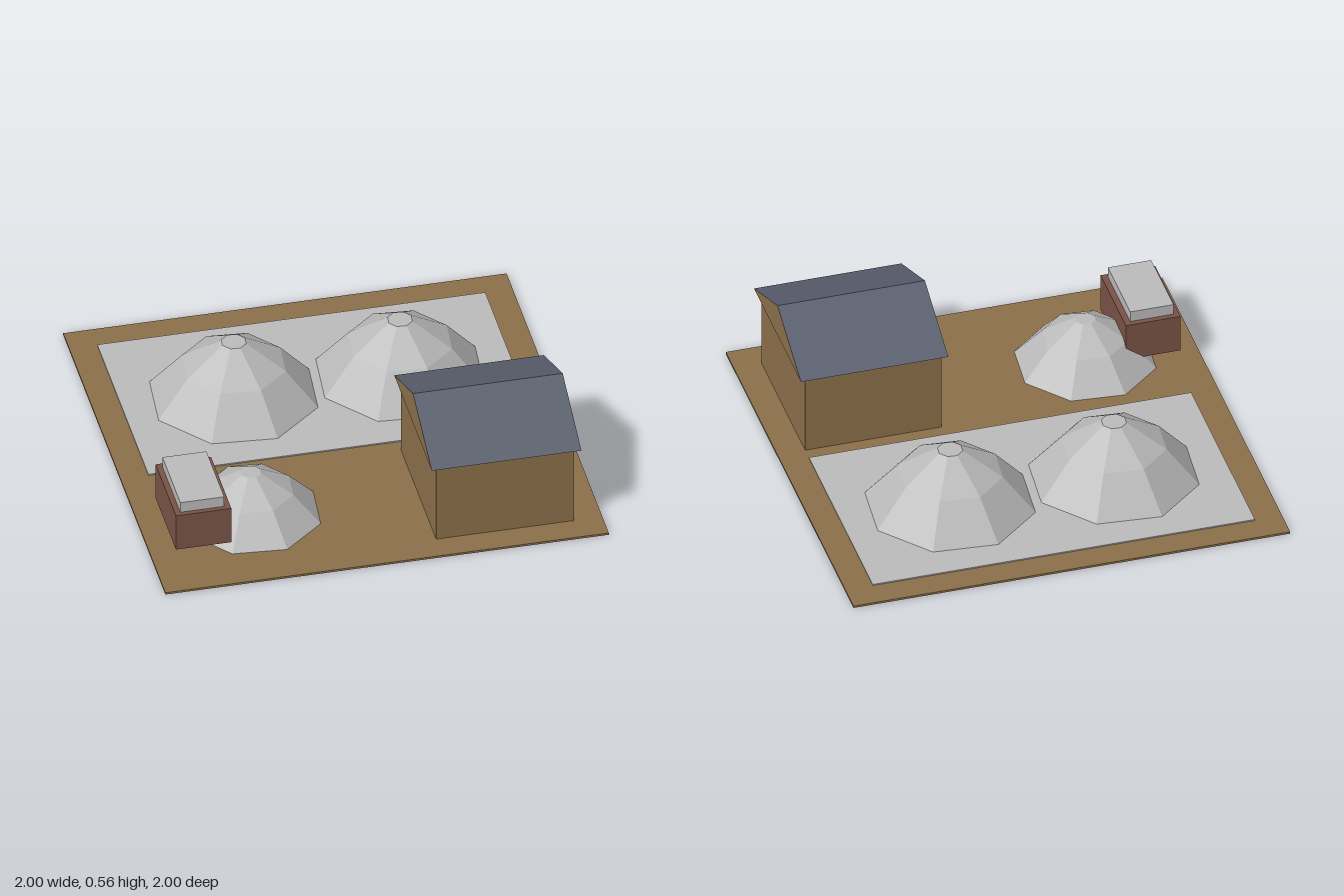
import * as THREE from 'three';

const material = (name, color, flatShading = false) => {
  const m = new THREE.MeshStandardMaterial({ color });
  m.name = name;
  m.flatShading = flatShading;
  return m;
};

export function createModel() {
  const brown = material('earthBrown', 0x8b6f4a);
  const grey = material('stoneGrey', 0xbababa, true);
  const slate = material('slateBlue', 0x5a5f6e);
  const rust = material('rustBrown', 0x795346);

  const model = new THREE.Group();
  model.name = 'stoneYard';

  const add = (name, geometry, mat, parent = model) => {
    const mesh = new THREE.Mesh(geometry, mat);
    mesh.name = name;
    parent.add(mesh);
    return mesh;
  };

  // box given by its lower and upper corners
  const box = (name, mat, [x0, y0, z0], [x1, y1, z1], parent) => {
    const g = new THREE.BoxGeometry(x1 - x0, y1 - y0, z1 - z0);
    g.translate((x0 + x1) / 2, (y0 + y1) / 2, (z0 + z1) / 2);
    return add(name, g, mat, parent);
  };

  // ground slab and paved area
  box('ground', brown, [-1, 0, -1], [1, 0.01, 1]);
  box('pavedArea', grey, [-0.875, 0.01, -0.875], [0.875, 0.016, 0.125]);

  // eight-sided heaps with a small flat top
  const heap = (name, x, z, scale, height) => {
    const profile = [[0.388, 0.01], [0.237, height * 0.61], [0.057, height], [0, height]]
      .map(([r, y]) => new THREE.Vector2(r * scale, y));
    const g = new THREE.LatheGeometry(profile, 8, THREE.MathUtils.degToRad(17.4));
    add(name, g, grey).position.set(x, 0, z);
  };
  heap('leftHeap', 0.375, -0.375, 1, 0.303);
  heap('rightHeap', -0.375, -0.375, 1, 0.303);
  heap('smallHeap', -0.5, 0.5, 0.82, 0.232);

  // shed: walls and an overhanging gable roof
  const shed = new THREE.Group();
  shed.name = 'shed';
  model.add(shed);
  box('shedWalls', brown, [0.25, 0.01, 0.19], [0.873, 0.402, 0.875], shed);
  const gable = new THREE.Shape([
    new THREE.Vector2(-0.368, 0), new THREE.Vector2(0.368, 0), new THREE.Vector2(0, 0.16),
  ]);
  const roof = new THREE.ExtrudeGeometry(gable, { depth: 0.675, bevelEnabled: false });
  roof.rotateY(Math.PI / 2);
  add('shedRoof', roof, [brown, slate], shed).position.set(0.225, 0.402, 0.532);

  // raised bin with its load
  const bin = new THREE.Group();
  bin.name = 'bin';
  model.add(bin);
  box('binBody', rust, [-0.9, 0.067, 0.375], [-0.65, 0.25, 0.772], bin);
  box('binLoad', grey, [-0.875, 0.25, 0.4], [-0.677, 0.302, 0.75], bin);

  return model;
}
